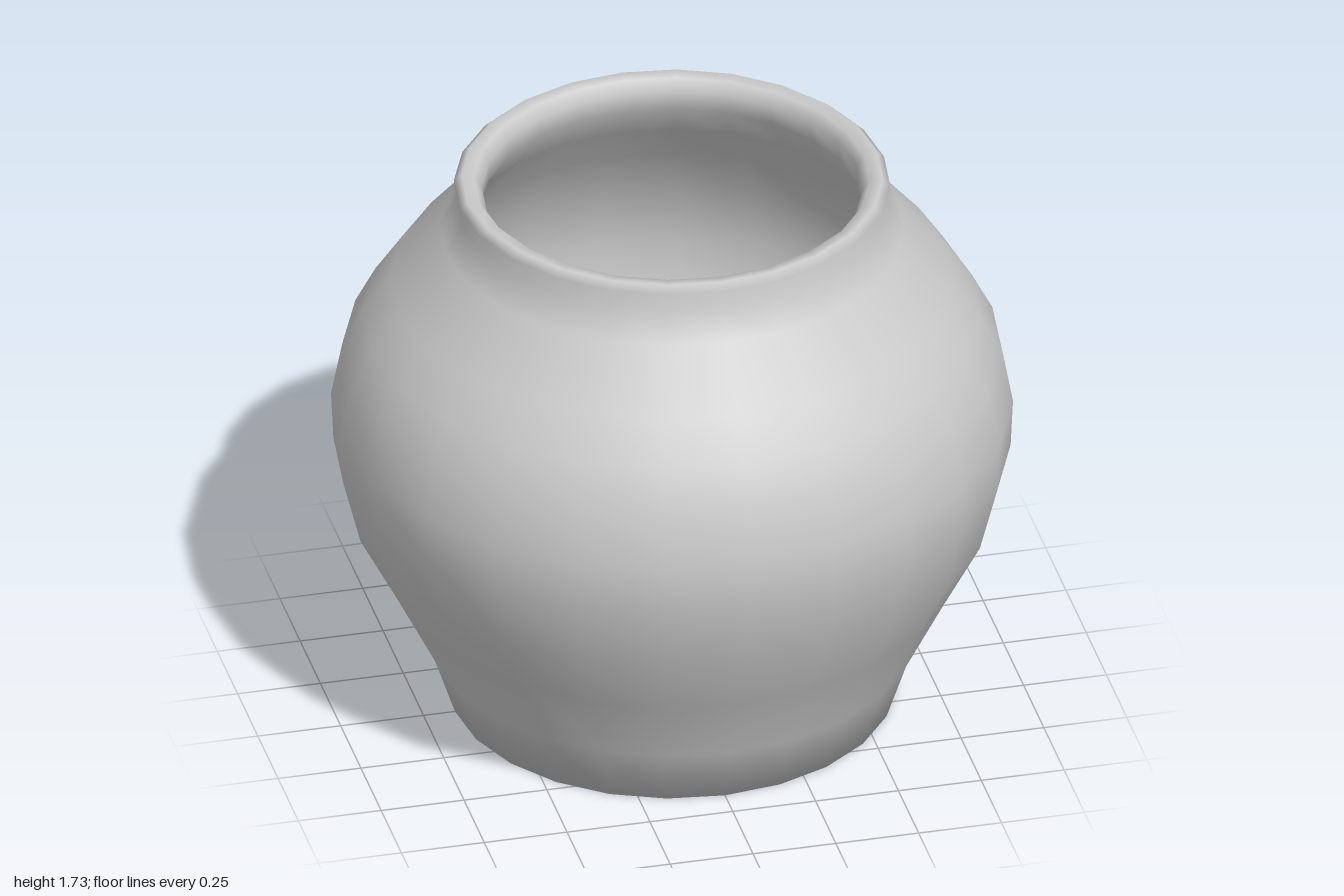
import * as THREE from 'three';

const SIDES = 24;

export function createModel() {
  const group = new THREE.Group();
  group.name = 'pot';
  const material = new THREE.MeshStandardMaterial({ color: 0xcccccc });

  // Half profile of the pot: [radius, height], from the base centre
  // up the outside, over the lip and down the inside
  const base = [[0, 0], [0.655, 0]];
  const outerWall = [
    [0.715, 0.18], [0.83, 0.41], [0.94, 0.62], [0.993, 0.83], [1, 0.98],
    [0.967, 1.15], [0.905, 1.27], [0.825, 1.39], [0.68, 1.56],
  ];
  const lip = [
    [0.632, 1.65], [0.64, 1.71], [0.618, 1.73], [0.58, 1.725], [0.558, 1.69], [0.56, 1.63],
  ];
  const innerWall = [
    [0.63, 1.52], [0.76, 1.36], [0.88, 1.16], [0.92, 0.98], [0.91, 0.83],
    [0.86, 0.63], [0.75, 0.41], [0.64, 0.19], [0.55, 0.09], [0, 0.07],
  ];
  const profile = [...base, ...outerWall, ...lip, ...innerWall]
    .map(([r, y]) => new THREE.Vector2(r, y));

  // Turned body with smooth shading
  const body = new THREE.Mesh(new THREE.LatheGeometry(profile, SIDES), material);
  body.name = 'potBody';
  group.add(body);
  return group;
}
